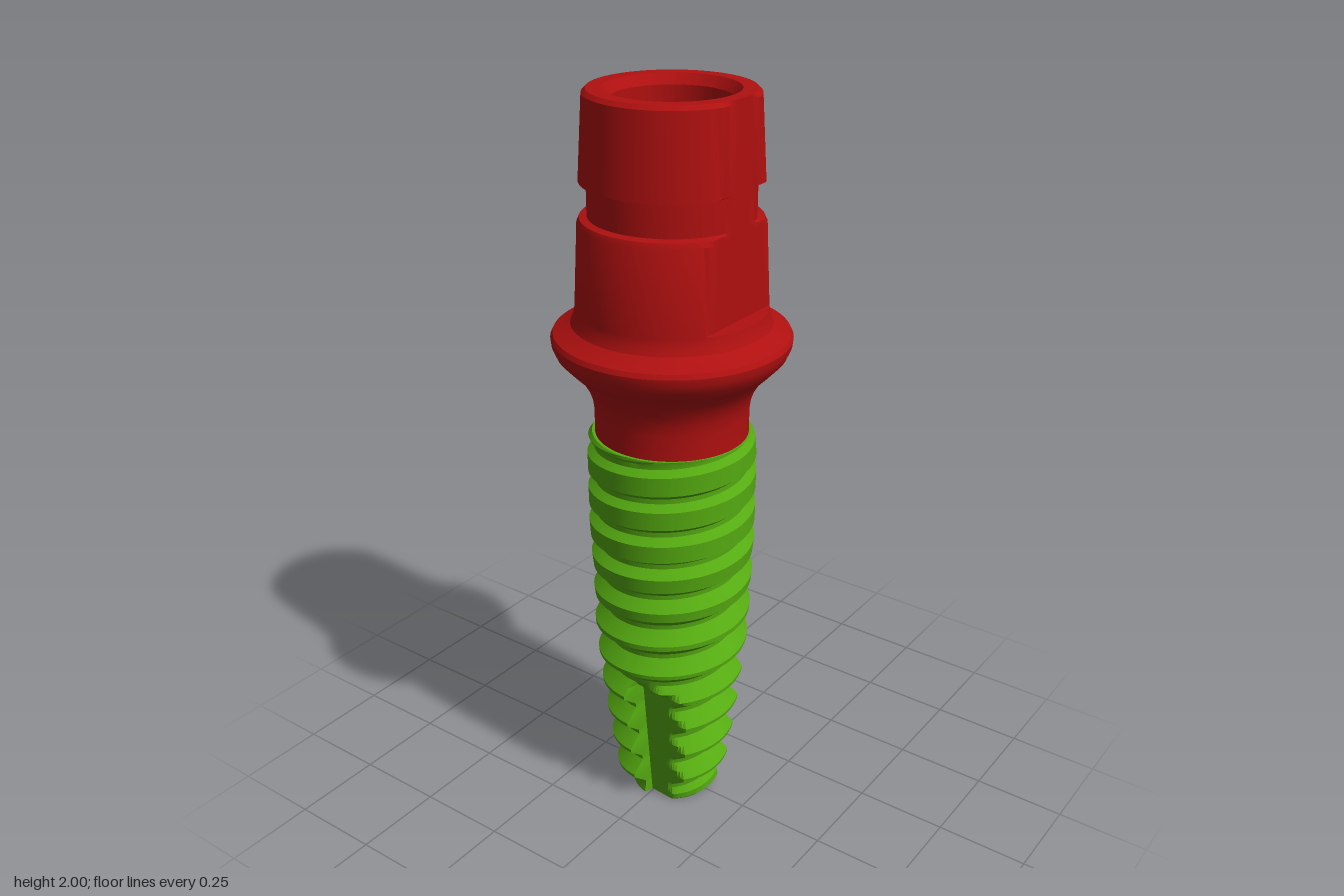
import * as THREE from 'three';
import { toCreasedNormals } from 'three/addons/utils/BufferGeometryUtils.js';

const TAU = Math.PI * 2;
const lerp = THREE.MathUtils.lerp;

// piecewise-linear lookup through [y, radius] pairs
function along(table, y) {
  for (let i = 1; i < table.length; i++) {
    const [y0, r0] = table[i - 1], [y1, r1] = table[i];
    if (y <= y1) return lerp(r0, r1, Math.max(0, (y - y0) / (y1 - y0)));
  }
  return table[table.length - 1][1];
}

const TOP = 1.125, PITCH = 0.097, CREST_Y = 0.52;
const crest = [[0, 0.117], [0.04, 0.153], [0.2, 0.176], [0.35, 0.195], [0.55, 0.213], [0.8, 0.222], [1.105, 0.222], [TOP, 0.208]];
const root = [[0, 0.108], [0.2, 0.135], [0.45, 0.165], [0.7, 0.187], [0.9, 0.2], [TOP, 0.204]];
const crestWidth = y => along([[0, 0.05], [0.6, 0.06], [0.85, 0.24], [TOP, 0.27]], y);

// radius of the threaded body, with three cutting flutes near the tip
function screwRadius(theta, y) {
  const f = (y - CREST_Y) / PITCH + theta / TAU;
  const t = Math.abs(f - Math.round(f));
  const w = crestWidth(y);
  const k = THREE.MathUtils.clamp((t - w) / (0.43 - w), 0, 1);
  let r = lerp(along(crest, y), along(root, y), k);
  for (let n = 0; n < 3; n++) {
    let a = theta - Math.PI / 4 - n * TAU / 3;
    a -= TAU * Math.round(a / TAU);
    if (a > 0.32 || a < -0.9) continue;
    const floor = 0.095 + 0.1 * y + Math.max(0, y - 0.38) * 1.2;
    r = Math.min(r, floor / (Math.cos(a) + 0.35 * Math.sin(a)));
  }
  return r;
}

// rows follow the helix so crests and roots stay crisp; ends are cut level
function screwGeometry() {
  const N = 120, rows = [];
  const plain = (r, y) => rows.push(() => [r, y]);
  plain(0, 0.012); plain(0.058, 0.012); plain(0.07, 0);
  for (let n = -6; n <= 8; n++) {
    const w = crestWidth(CREST_Y + n * PITCH);
    for (const o of [-0.43, -(w + 0.43) / 2, -w, w, (w + 0.43) / 2, 0.43]) {
      rows.push(theta => {
        const y = THREE.MathUtils.clamp(CREST_Y + PITCH * (n + o - theta / TAU), 0, TOP);
        return [screwRadius(theta, y), y];
      });
    }
  }
  rows.push(theta => [screwRadius(theta, TOP), TOP]);
  // internal socket with a conical floor
  plain(0.092, TOP); plain(0.08, 0.65); plain(0, 0.6);

  const pos = [], index = [];
  for (const row of rows) {
    for (let i = 0; i <= N; i++) {
      const theta = i / N * TAU, [r, y] = row(theta);
      pos.push(r * Math.cos(theta), y, r * Math.sin(theta));
    }
  }
  const P = i => new THREE.Vector3().fromArray(pos, i * 3);
  const tri = (a, b, c) => {
    const A = P(a), area = P(b).sub(A).cross(P(c).sub(A)).length();
    if (area > 1e-9) index.push(a, b, c);
  };
  for (let j = 0; j < rows.length - 1; j++) {
    for (let i = 0; i < N; i++) {
      const a = j * (N + 1) + i, b = a + N + 1;
      tri(a, b, a + 1);
      tri(b, b + 1, a + 1);
    }
  }
  const geo = new THREE.BufferGeometry();
  geo.setAttribute('position', new THREE.Float32BufferAttribute(pos, 3));
  geo.setIndex(index);
  return toCreasedNormals(geo, 0.45);
}

// turned collar and post, with one flat cut on the front
function abutmentGeometry() {
  const FLAT_Y = 1.465;
  const profile = [
    [0.092, 1.12], [0.2, 1.12], [0.2, 1.19], [0.204, 1.22], [0.214, 1.25], [0.235, 1.285],
    [0.265, 1.315], [0.293, 1.345], [0.304, 1.37], [0.306, 1.388], [0.3, 1.4], [0.275, 1.412],
    [0.255, 1.425], [0.247, 1.442], [0.243, FLAT_Y], [0.243, FLAT_Y + 0.0005],
    [0.232, 1.68], [0.226, 1.693], [0.207, 1.697], [0.207, 1.78], [0.226, 1.783],
    [0.213, 1.99], [0.203, 2], [0.166, 2], [0.148, 1.975],
    [0.146, 1.58], [0.092, 1.47], [0.092, 1.12],
  ].map(([r, y]) => new THREE.Vector2(r, y));
  const geo = new THREE.LatheGeometry(profile, 112);
  const p = geo.attributes.position;
  for (let i = 0; i < p.count; i++) {
    if (p.getY(i) > FLAT_Y + 0.0002) p.setZ(i, Math.min(p.getZ(i), 0.2));
  }
  geo.deleteAttribute('normal');
  geo.deleteAttribute('uv');
  return toCreasedNormals(geo, 0.4);
}

export function createModel() {
  const model = new THREE.Group();
  model.name = 'implantWithAbutment';
  const add = (name, geo, color) => {
    const mesh = new THREE.Mesh(geo, new THREE.MeshStandardMaterial({ color }));
    mesh.name = name;
    model.add(mesh);
  };
  add('threadedImplant', screwGeometry(), 0x55aa11);
  add('abutment', abutmentGeometry(), 0xb01010);
  return model;
}
